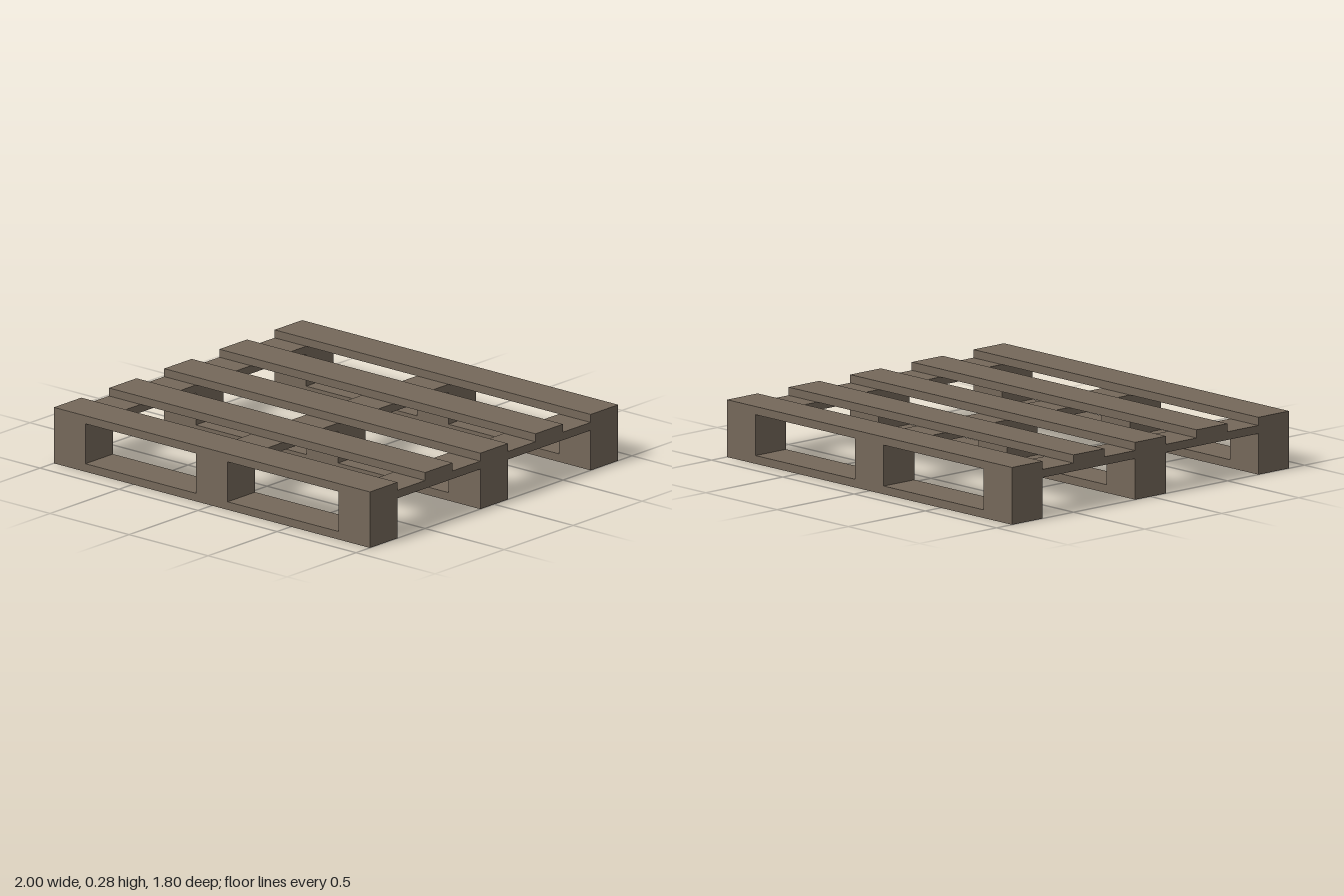
import * as THREE from 'three';

export function createModel() {
  const pallet = new THREE.Group();
  pallet.name = 'pallet';
  const wood = new THREE.MeshStandardMaterial({ color: 0x75685a });
  wood.name = 'weathered wood';

  // Box from its size, centre x and z, and underside height
  function plank(name, w, h, d, x, bottom, z) {
    const mesh = new THREE.Mesh(new THREE.BoxGeometry(w, h, d), wood);
    mesh.name = name;
    mesh.position.set(x, bottom + h / 2, z);
    pallet.add(mesh);
  }

  const board = 0.04;
  const width = 0.2;
  const columns = [-0.9, 0, 0.9];
  const rows = [-0.8, 0, 0.8];

  // Ground boards, with three spacer blocks on each
  for (const z of rows) {
    plank('bottomBoard', 2, board, width, 0, 0, z);
    for (const x of columns) plank('spacerBlock', width, 0.16, width, x, board, z);
  }

  // Stringers running front to back over the blocks
  for (const x of columns) plank('stringer', width, board, 1.8, x, 0.2, 0);

  // Five deck boards across the top
  for (let i = -2; i <= 2; i++) plank('deckBoard', 2, board, width, 0, 0.24, i * 0.4);

  return pallet;
}
